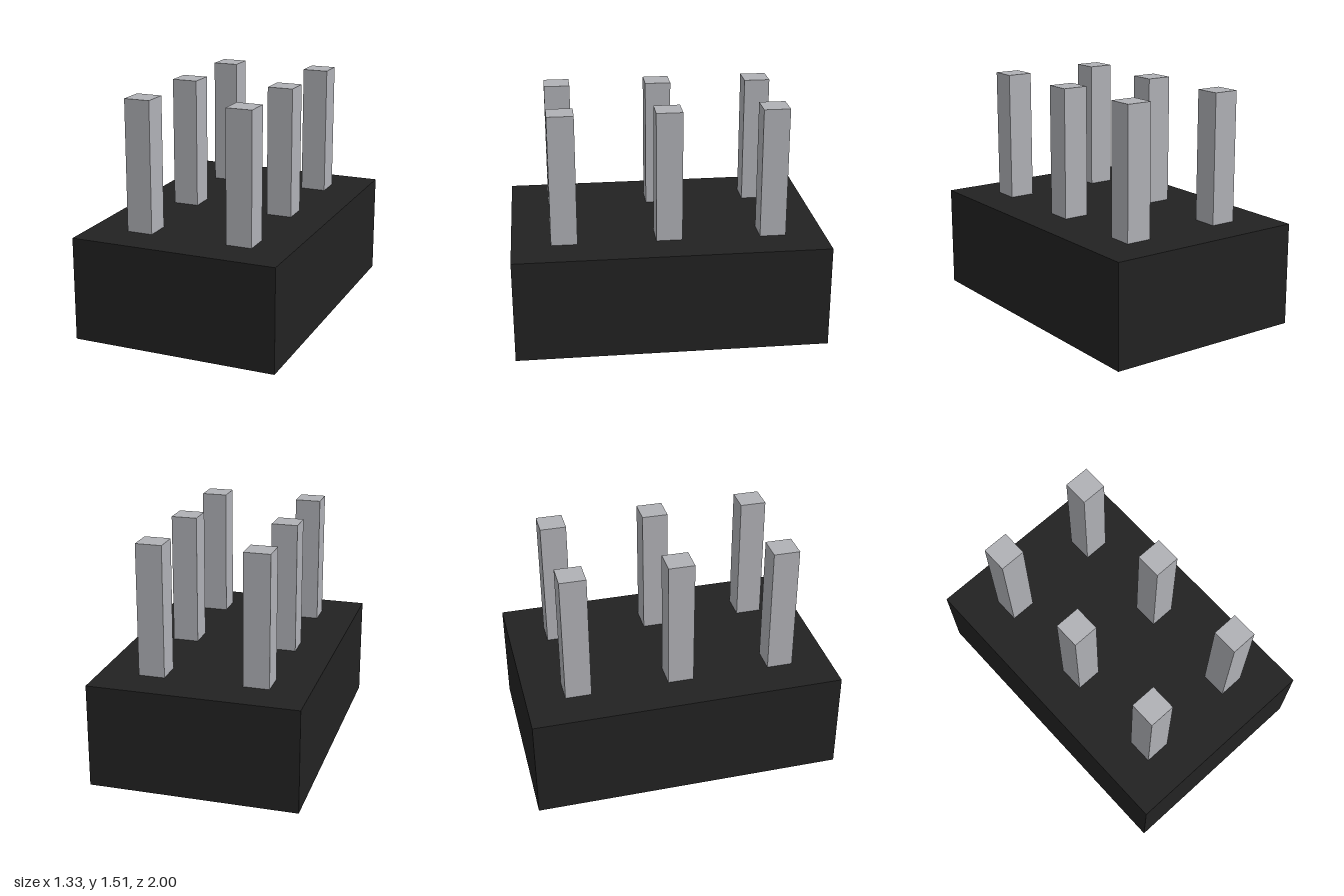
import * as THREE from 'three';

export function createModel() {
  const group = new THREE.Group();
  const black = new THREE.MeshStandardMaterial({ name: 'black plastic', color: 0x222222 });
  const metal = new THREE.MeshStandardMaterial({ name: 'grey metal', color: 0xb0b1b6 });

  const pitch = 2 / 3, pinWidth = 0.167, bodyHeight = 0.667, pinTop = 1.51;

  // housing block
  const housing = new THREE.Mesh(new THREE.BoxGeometry(2 * pitch, bodyHeight, 3 * pitch), black);
  housing.name = 'housing';
  housing.position.y = bodyHeight / 2;
  group.add(housing);

  // two columns of three square pins standing on the housing
  const pinHeight = pinTop - bodyHeight;
  const pinGeometry = new THREE.BoxGeometry(pinWidth, pinHeight, pinWidth);
  for (const column of [-0.5, 0.5]) {
    for (const row of [-1, 0, 1]) {
      const pin = new THREE.Mesh(pinGeometry, metal);
      pin.name = 'pin';
      pin.position.set(column * pitch, bodyHeight + pinHeight / 2, row * pitch);
      group.add(pin);
    }
  }
  return group;
}
